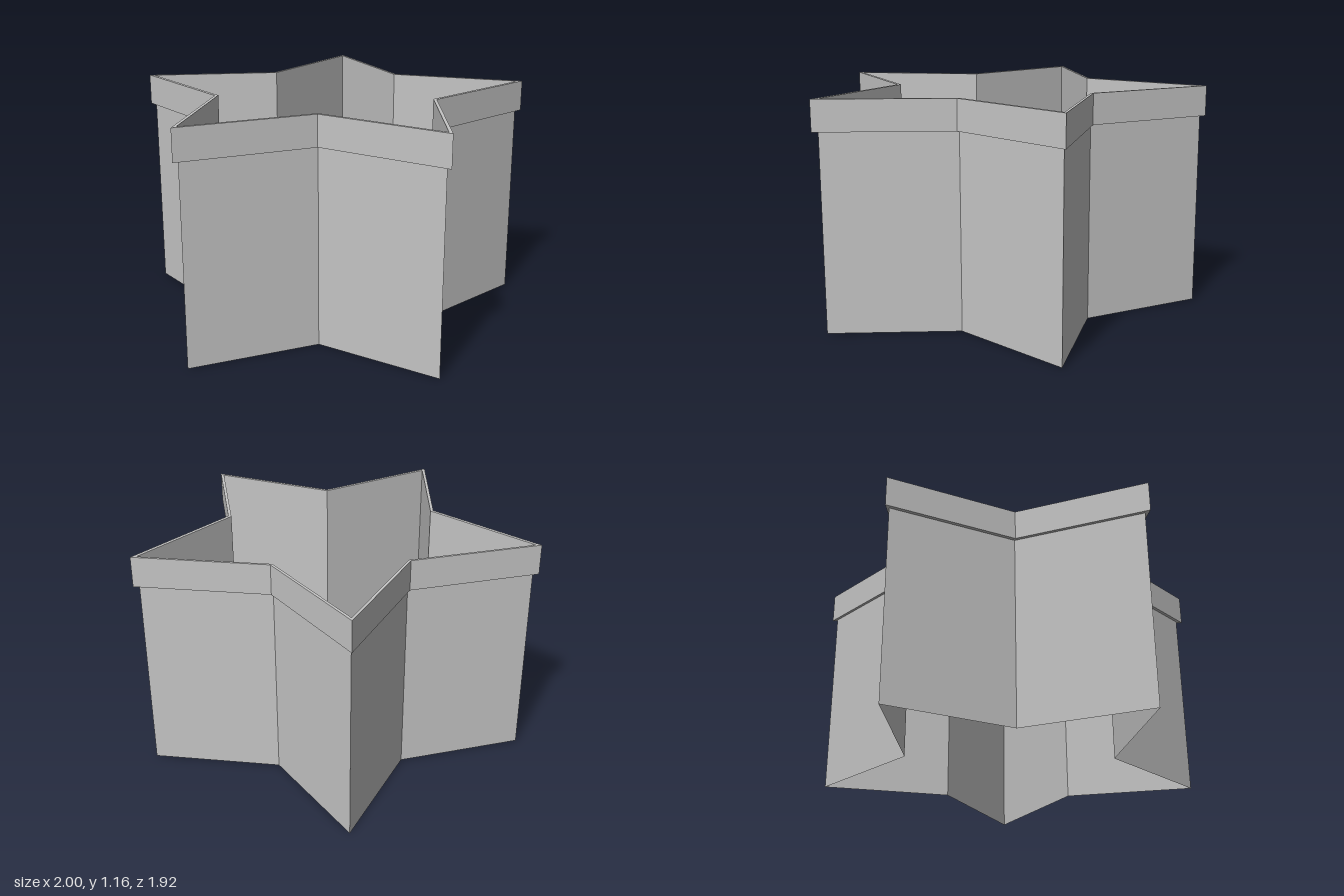
import * as THREE from 'three';

const WALL_TOP = 1.0, RIM_TOP = 1.156, INNER = 0.97;

// Right half of the star, front valley to back tip, as [x, z]
const half = [[0, 0.645], [0.6, 0.96], [0.543, 0.282], [1, -0.223], [0.333, -0.3615], [0, -0.956]];
const star = [...half, ...half.slice(1, -1).reverse().map(([x, z]) => [-x, z])];

// Star outline in shape space, where shape y becomes -z once laid flat
const outline = (s) => star.map(([x, z]) => new THREE.Vector2(x * s, -z * s));

export function createModel() {
  const group = new THREE.Group();
  group.name = 'starCutter';
  const metal = new THREE.MeshStandardMaterial({ color: 0xc4c4c4 });
  metal.name = 'grey metal';
  metal.side = THREE.DoubleSide;

  // Thin open wall, one flat panel per star edge
  const positions = [];
  star.forEach(([x, z], i) => {
    const [nx, nz] = star[(i + 1) % star.length];
    const a = [x * INNER, 0, z * INNER], b = [nx * INNER, 0, nz * INNER];
    const c = [b[0], WALL_TOP, b[2]], d = [a[0], WALL_TOP, a[2]];
    positions.push(...a, ...b, ...c, ...a, ...c, ...d);
  });
  const wallGeometry = new THREE.BufferGeometry();
  wallGeometry.setAttribute('position', new THREE.Float32BufferAttribute(positions, 3));
  wallGeometry.computeVertexNormals();
  const wall = new THREE.Mesh(wallGeometry, metal);
  wall.name = 'wall';

  // Raised rim around the top of the wall
  const shape = new THREE.Shape(outline(1));
  shape.holes.push(new THREE.Path(outline(INNER)));
  const rimGeometry = new THREE.ExtrudeGeometry(shape, { depth: RIM_TOP - WALL_TOP, bevelEnabled: false });
  rimGeometry.rotateX(-Math.PI / 2).translate(0, WALL_TOP, 0);
  const rim = new THREE.Mesh(rimGeometry, metal);
  rim.name = 'rim';

  group.add(wall, rim);
  return group;
}
